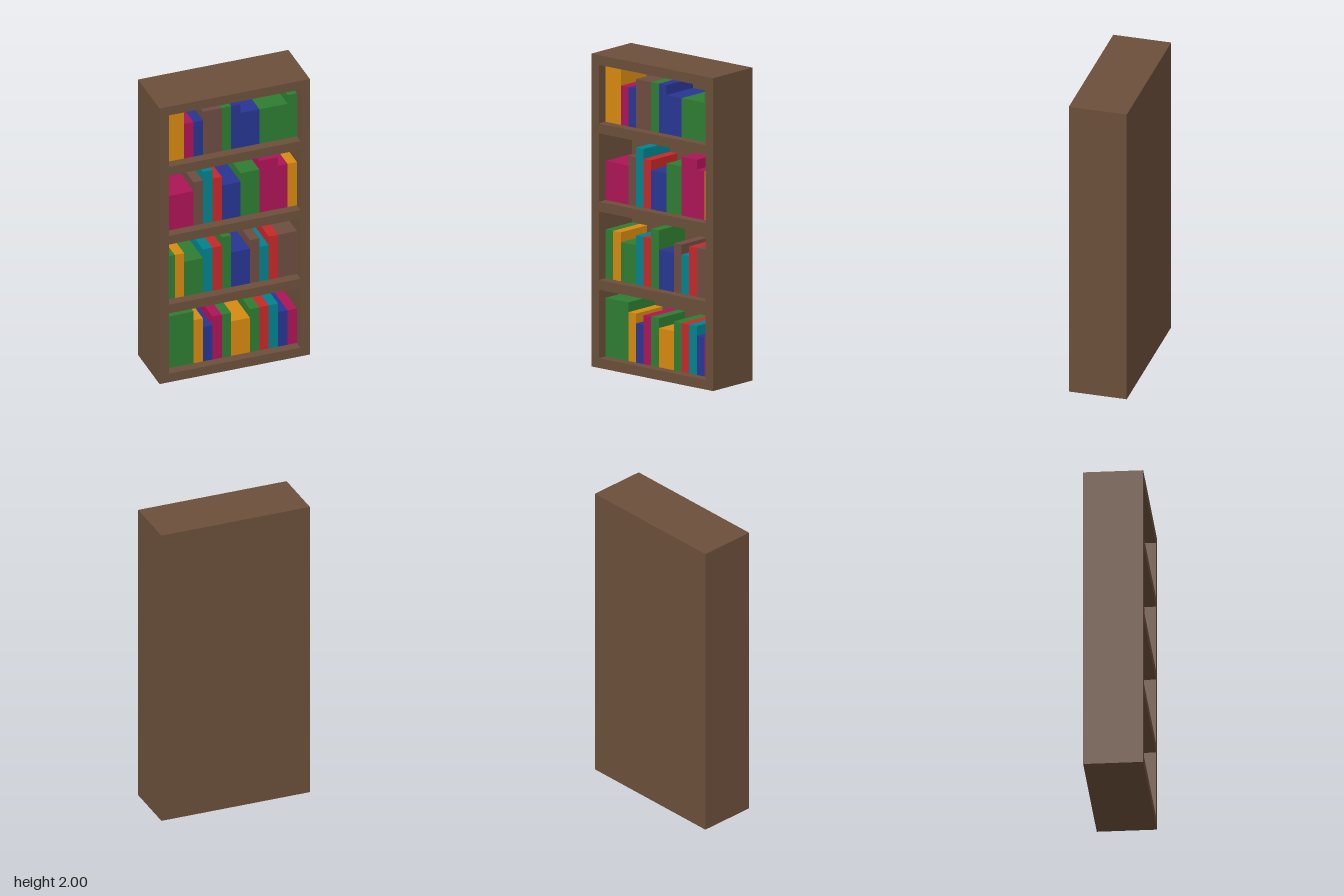
import * as THREE from 'three';

const U = 1 / 16; // every part sits on a grid of sixteenths

const mat = (name, color) => {
  const m = new THREE.MeshStandardMaterial({ color });
  m.name = name;
  return m;
};

// Box given by its grid limits
function block(name, material, [x0, x1], [y0, y1], [z0, z1]) {
  const geo = new THREE.BoxGeometry((x1 - x0) * U, (y1 - y0) * U, (z1 - z0) * U);
  const mesh = new THREE.Mesh(geo, material);
  mesh.position.set((x0 + x1) * U / 2, (y0 + y1) * U / 2, (z0 + z1) * U / 2);
  mesh.name = name;
  return mesh;
}

// Each shelf: floor height, then books from left to right as [colour, width, height]
const ROWS = [
  { floor: 1, books: [['green', 3, 6], ['yellow', 1, 5], ['blue', 1, 4], ['pink', 1, 5], ['green', 1, 5],
    ['yellow', 2, 4], ['green', 1, 5], ['red', 1, 5], ['teal', 1, 5], ['blue', 1, 4], ['pink', 1, 4]] },
  { floor: 9, books: [['green', 1, 5], ['yellow', 1, 5], ['green', 2, 4], ['teal', 1, 5], ['red', 1, 5],
    ['green', 1, 6], ['blue', 2, 4], ['brown', 1, 5], ['teal', 1, 4], ['red', 1, 5], ['brown', 2, 5]] },
  { floor: 17, books: [['pink', 3, 4], ['brown', 1, 5], ['teal', 1, 6], ['red', 1, 5], ['blue', 2, 4],
    ['green', 2, 5], ['pink', 2, 6], ['pink', 1, 5], ['yellow', 1, 5]] },
  { floor: 25, books: [['yellow', 2, 6], ['pink', 1, 4], ['blue', 1, 4], ['brown', 2, 5], ['green', 1, 5],
    ['blue', 1, 5], ['blue', 2, 4], ['green', 3, 4], ['green', 1, 5]] },
];

export function createModel() {
  const model = new THREE.Group();
  model.name = 'bookcase';
  const wood = mat('wood', 0x6b4f3a);
  const covers = {
    green: mat('green cover', 0x2e7d32),
    yellow: mat('yellow cover', 0xd68910),
    blue: mat('blue cover', 0x283593),
    pink: mat('pink cover', 0xad1457),
    red: mat('red cover', 0xc62828),
    teal: mat('teal cover', 0x00838f),
    brown: mat('brown cover', 0x6d4c41),
  };

  // Case: sides, back, top, and a board under each row
  const frame = new THREE.Group();
  frame.name = 'case';
  frame.add(
    block('rightSide', wood, [-8, -7], [0, 32], [-3, 3]),
    block('leftSide', wood, [7, 8], [0, 32], [-3, 3]),
    block('backPanel', wood, [-7, 7], [0, 32], [-3, -2]),
    block('topBoard', wood, [-7, 7], [31, 32], [-2, 3]),
  );
  for (const { floor } of ROWS) {
    frame.add(block('shelf', wood, [-7, 7], [floor - 1, floor], [-2, 3]));
  }
  model.add(frame);

  // Books, set back from the front edge
  ROWS.forEach(({ floor, books }, i) => {
    const row = new THREE.Group();
    row.name = `bookRow${i + 1}`;
    let x = -7;
    for (const [colour, width, height] of books) {
      row.add(block('book', covers[colour], [x, x + width], [floor, floor + height], [-2, 2]));
      x += width;
    }
    model.add(row);
  });
  return model;
}
